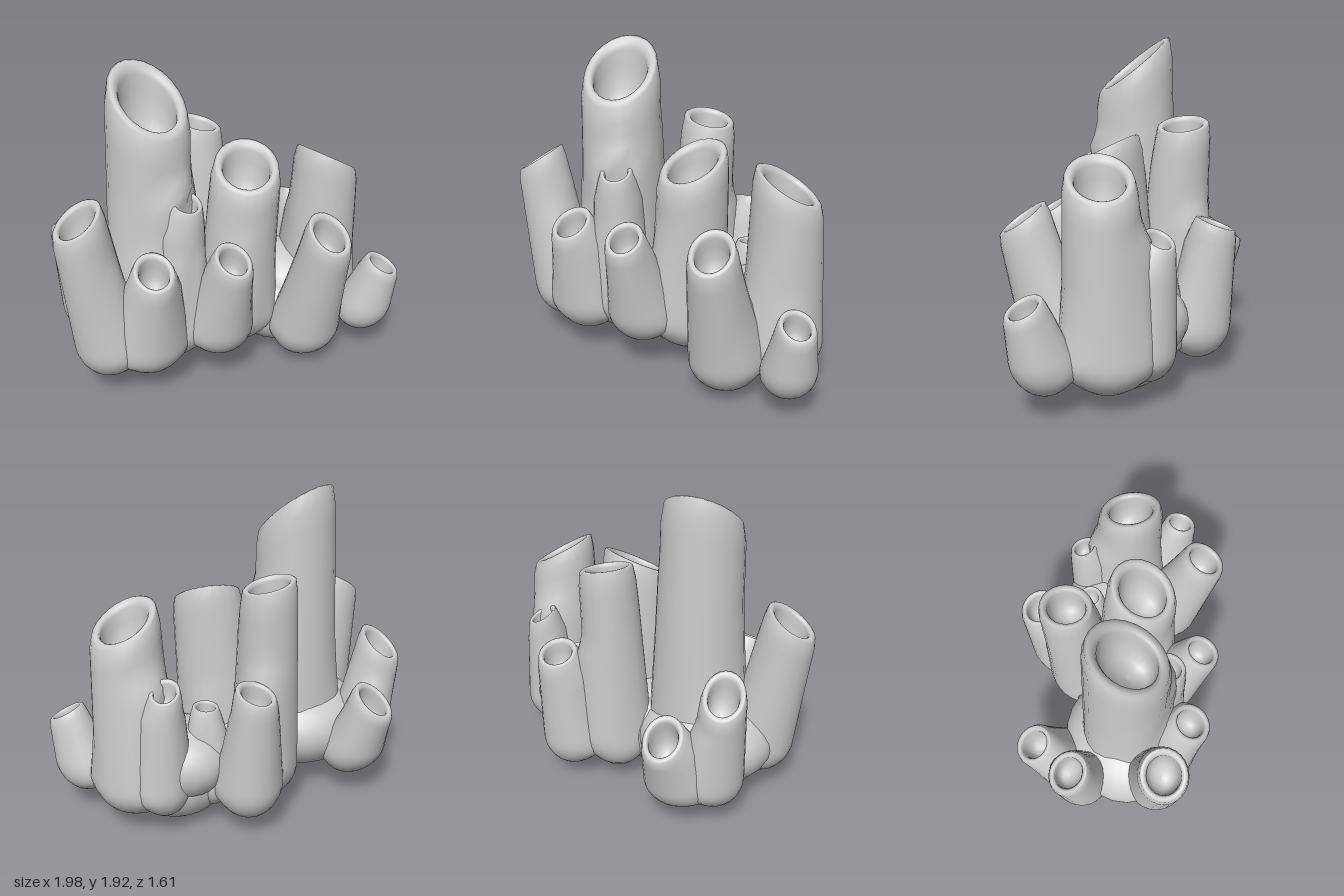
import * as THREE from 'three';

const SIDES = 24, WALL = 22, BLEND = 0.2;

// base: x, y, z, radius | rim: x, y, z, radius | slope of the rim plane along x and z
const TUBES = [
  { name: 'tallTube', base: [-0.33, 0.1, -0.12, 0.27], rim: [-0.33, 1.74, -0.09, 0.235], slope: [0.03, -0.8] },
  { name: 'leftTube', base: [-0.7, 0.13, -0.02, 0.19], rim: [-0.85, 1.17, -0.05, 0.145], slope: [0.65, 0] },
  { name: 'backTube', base: [-0.55, 0.13, -0.45, 0.18], rim: [-0.62, 0.92, -0.55, 0.125], slope: [0.1, 0.8] },
  { name: 'lowBackTube', base: [-0.36, 0.13, -0.5, 0.2], rim: [-0.33, 0.67, -0.7, 0.12], slope: [0, 0.75] },
  { name: 'middleBackTube', base: [0.13, 0.1, -0.25, 0.19], rim: [0.17, 1.43, -0.29, 0.16], slope: [-0.2, -0.15] },
  { name: 'middleTube', base: [0.15, 0.1, 0.12, 0.23], rim: [0.18, 1.29, 0.17, 0.205], slope: [0.3, -0.45] },
  { name: 'rightTube', base: [0.74, 0.08, 0.24, 0.25], rim: [0.74, 1.24, 0.28, 0.195], slope: [-0.58, 0] },
  { name: 'rightBackTube', base: [0.4, 0.1, -0.33, 0.19], rim: [0.44, 0.9, -0.42, 0.12], slope: [0, 0.38] },
  { name: 'smallInnerTube', base: [0.45, 0.1, -0.08, 0.15], rim: [0.48, 0.74, -0.08, 0.08], slope: [0, 0.1] },
  { name: 'smallRightTube', base: [0.73, 0.12, 0.02, 0.15], rim: [0.75, 0.91, -0.03, 0.09], slope: [-0.45, 0.3] },
  { name: 'frontTube', base: [0.45, 0.03, 0.42, 0.22], rim: [0.4, 0.97, 0.66, 0.135], slope: [0.05, -0.7] },
  { name: 'lowFrontTube', base: [0.82, 0.13, 0.58, 0.18], rim: [0.87, 0.62, 0.69, 0.105], slope: [-0.25, -0.45] },
  { name: 'frontMiddleTube', base: [-0.1, 0.18, 0.26, 0.19], rim: [-0.15, 0.9, 0.45, 0.115], slope: [0.05, -0.6] },
  { name: 'frontLeftTube', base: [-0.5, 0.13, 0.1, 0.2], rim: [-0.55, 0.87, 0.24, 0.125], slope: [0.2, -0.55] },
  { name: 'smallFrontTube', base: [-0.28, 0.15, 0.1, 0.15], rim: [-0.28, 1.2, 0.18, 0.1], slope: [0, -0.45] },
];

// Solid lumps that fuse the tubes together low down: centre, then radii
const ROOTS = [
  [-0.4, 0.37, -0.15, 0.42, 0.27, 0.36],
  [0.05, 0.35, -0.05, 0.4, 0.26, 0.3],
  [0.5, 0.27, 0.14, 0.33, 0.27, 0.32],
  [0.55, 0.4, 0.1, 0.28, 0.24, 0.34],
];

const lerp = THREE.MathUtils.lerp;

// Centre and radius of a tube at height fraction t; the foot is rounded
function section(tube, t) {
  const { base, rim } = tube;
  const c = base.map((v, i) => lerp(v, rim[i], t));
  const foot = Math.min(1, (t * (rim[1] - base[1])) / 0.22);
  c[3] *= Math.sqrt(1 - (1 - foot) ** 2);
  return c;
}

// Approximate distance from a point to the wall of a tube
function wallDistance(tube, x, y, z) {
  const { base, rim } = tube;
  const t = (y - base[1]) / (rim[1] - base[1]);
  const c = section(tube, THREE.MathUtils.clamp(t, 0, 1));
  const over = Math.max(0, y - rim[1], base[1] - y);
  return Math.hypot(x - c[0], z - c[2]) - c[3] + over;
}

// Swelling of a wall where another tube is close, which forms the fillets
function swell(tube, x, y, z) {
  let most = 0;
  for (const other of TUBES) {
    if (other === tube) continue;
    const d = Math.abs(wallDistance(other, x, y, z));
    if (d < BLEND) most = Math.max(most, (BLEND - d) ** 2 / (4 * BLEND));
  }
  return most;
}

function tubeGeometry(tube) {
  const { rim, slope } = tube;
  const positions = [], index = [];
  const addRing = (c, tilt, fillet) => {
    for (let j = 0; j < SIDES; j++) {
      const a = (j / SIDES) * Math.PI * 2;
      const dx = Math.cos(a), dz = Math.sin(a);
      const y = c[1] + tilt * c[3] * (slope[0] * dx + slope[1] * dz);
      const r = c[3] + (fillet ? fillet * swell(tube, c[0] + dx * c[3], y, c[2] + dz * c[3]) : 0);
      positions.push(c[0] + dx * r, y, c[2] + dz * r);
    }
  };

  // Outer wall, tilting gradually toward the rim plane
  for (let i = 0; i <= WALL; i++) {
    const f = i / WALL;
    const t = 0.94 * lerp(f * f, f, 0.6);
    const c = section(tube, t);
    addRing(c, t * t, Math.min(1, t * 6) * Math.min(1, (1 - t) * 6));
  }
  // Rounded lip, then the cavity: radius factor and height above the rim in radii
  const lip = [[0.94, 0.0], [0.87, 0.05], [0.79, 0.05], [0.72, 0.0], [0.68, -0.12],
    [0.67, -0.5], [0.62, -1.0], [0.45, -1.3], [0.2, -1.42], [0.001, -1.45]];
  for (const [k, h] of lip) {
    const t = 1 + (Math.min(0, h) * rim[3]) / (rim[1] - tube.base[1]);
    const c = section(tube, t);
    addRing([c[0], rim[1] + h * rim[3], c[2], rim[3] * k], 1, 0);
  }

  const rings = positions.length / 3 / SIDES;
  for (let i = 0; i < rings - 1; i++) {
    for (let j = 0; j < SIDES; j++) {
      const n = (j + 1) % SIDES;
      const a = i * SIDES + j, b = i * SIDES + n, c = a + SIDES, d = b + SIDES;
      index.push(b, a, c, b, c, d);
    }
  }
  const geometry = new THREE.BufferGeometry();
  geometry.setAttribute('position', new THREE.Float32BufferAttribute(positions, 3));
  geometry.setIndex(index);
  geometry.computeVertexNormals();
  return geometry;
}

export function createModel() {
  const model = new THREE.Group();
  model.name = 'tubeSponge';
  const material = new THREE.MeshStandardMaterial({ color: 0xcccccc });

  for (const tube of TUBES) {
    const mesh = new THREE.Mesh(tubeGeometry(tube), material);
    mesh.name = tube.name;
    model.add(mesh);
  }

  const roots = new THREE.Group();
  roots.name = 'roots';
  for (const [x, y, z, rx, ry, rz] of ROOTS) {
    const lump = new THREE.Mesh(new THREE.SphereGeometry(1, 24, 16), material);
    lump.name = 'rootLump';
    lump.position.set(x, y, z);
    lump.scale.set(rx, ry, rz);
    roots.add(lump);
  }
  model.add(roots);
  return model;
}
